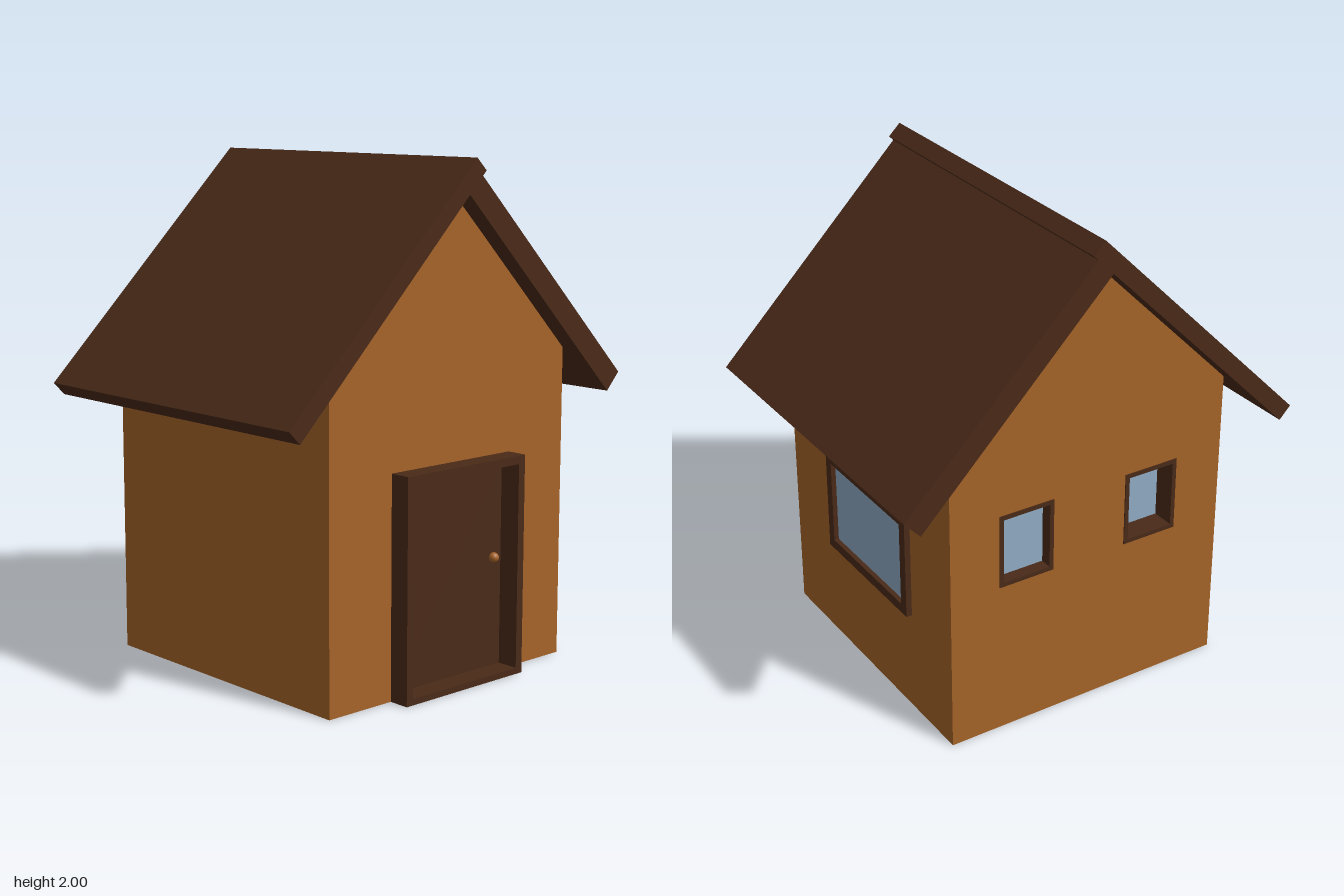
import * as THREE from 'three';

const mat = (color) => new THREE.MeshStandardMaterial({ color });
const wallMat = mat(0xa56328);
const woodMat = mat(0x4a2a18);
const glassMat = mat(0x8fabc4);

// House extents
const X = 0.616, FRONT = 0.632, BACK = -0.607, EAVE = 1.25, APEX = 1.865;

function polygon(points) {
  return new THREE.Shape(points.map(([x, y]) => new THREE.Vector2(x, y)));
}

// Counter-clockwise rectangle from opposite corners
const rect = (x0, y0, x1, y1) => polygon([[x0, y0], [x1, y0], [x1, y1], [x0, y1]]);

function add(parent, name, geometry, material) {
  const mesh = new THREE.Mesh(geometry, material);
  mesh.name = name;
  parent.add(mesh);
  return mesh;
}

// Frame with a recessed panel; its outer face is at local z = 0
function framedOpening(name, { w, h, border, sill = border, depth, recess, panelMat, panelName }) {
  const group = new THREE.Group();
  group.name = name;
  const shape = rect(-w / 2, 0, w / 2, h);
  shape.holes.push(rect(-w / 2 + border, sill, w / 2 - border, h - border));
  const frame = new THREE.ExtrudeGeometry(shape, { depth, bevelEnabled: false });
  frame.translate(0, 0, -depth);
  add(group, name + 'Frame', frame, woodMat);
  const thick = 0.02;
  const panel = add(group, panelName,
    new THREE.BoxGeometry(w - border * 1.5, h - border - sill / 2, thick), panelMat);
  panel.position.set(0, (sill * 0.75 + h - border * 0.75) / 2, -recess - thick / 2);
  return group;
}

// Flat wall with holes, facing local +z
function wall(parent, name, points, holes) {
  const shape = polygon(points);
  shape.holes.push(...holes);
  return add(parent, name, new THREE.ShapeGeometry(shape), wallMat);
}

export function createModel() {
  const house = new THREE.Group();
  house.name = 'house';

  // Walls
  const gable = [[-X, 0], [X, 0], [X, EAVE], [0, APEX], [-X, EAVE]];
  wall(house, 'frontWall', gable, [rect(-0.295, 0.01, 0.295, 0.85)]).position.z = FRONT;
  const backWall = wall(house, 'backWall', gable,
    [-1, 1].map((s) => rect(s * 0.284 - 0.113, 0.653, s * 0.284 + 0.113, 0.947)));
  backWall.position.z = BACK;
  backWall.rotation.y = Math.PI;
  for (const side of [1, -1]) {
    const a = side > 0 ? -FRONT : BACK, b = side > 0 ? -BACK : FRONT;
    const holes = side > 0 ? [rect(-0.287, 0.45, 0.293, 0.85)] : [];
    const mesh = wall(house, side > 0 ? 'leftWall' : 'rightWall',
      [[a, 0], [b, 0], [b, EAVE], [a, EAVE]], holes);
    mesh.position.x = side * X;
    mesh.rotation.y = side * Math.PI / 2;
  }
  const floor = add(house, 'floor', new THREE.PlaneGeometry(2 * X, FRONT - BACK), wallMat);
  floor.rotation.x = Math.PI / 2;
  floor.position.z = (FRONT + BACK) / 2;

  // Roof slabs, one lapping over the other at the ridge
  const slabs = {
    rightRoof: [[0.036, 2], [-0.868, 1.1], [-0.82, 1.05], [0.085, 1.952]],
    leftRoof: [[0.863, 1.13], [0.065, 1.935], [0, 1.867], [0.797, 1.06]],
  };
  for (const [name, points] of Object.entries(slabs)) {
    const slab = new THREE.ExtrudeGeometry(polygon(points), { depth: 1.428, bevelEnabled: false });
    slab.translate(0, 0, -0.716);
    add(house, name, slab, woodMat);
  }

  // Door with knob
  const door = framedOpening('door', {
    w: 0.623, h: 0.866, border: 0.033, sill: 0.025, depth: 0.125, recess: 0.09,
    panelMat: woodMat, panelName: 'doorPanel',
  });
  door.position.set(0.002, 0, 0.717);
  const knob = add(door, 'doorKnob', new THREE.SphereGeometry(0.02, 16, 12), wallMat);
  knob.position.set(0.231, 0.46, -0.08);
  house.add(door);

  // Wide side window
  const sideWindow = framedOpening('sideWindow', {
    w: 0.622, h: 0.436, border: 0.04, depth: 0.06, recess: 0.02,
    panelMat: glassMat, panelName: 'sideGlass',
  });
  sideWindow.position.set(0.64, 0.432, -0.003);
  sideWindow.rotation.y = Math.PI / 2;
  house.add(sideWindow);

  // Two small back windows, set at different depths
  for (const [x, recess] of [[0.284, 0.05], [-0.284, 0.095]]) {
    const small = framedOpening('backWindow', {
      w: 0.24, h: 0.308, border: 0.018, depth: recess + 0.03, recess,
      panelMat: glassMat, panelName: 'backGlass',
    });
    small.position.set(x, 0.646, BACK - 0.004);
    small.rotation.y = Math.PI;
    house.add(small);
  }
  return house;
}
